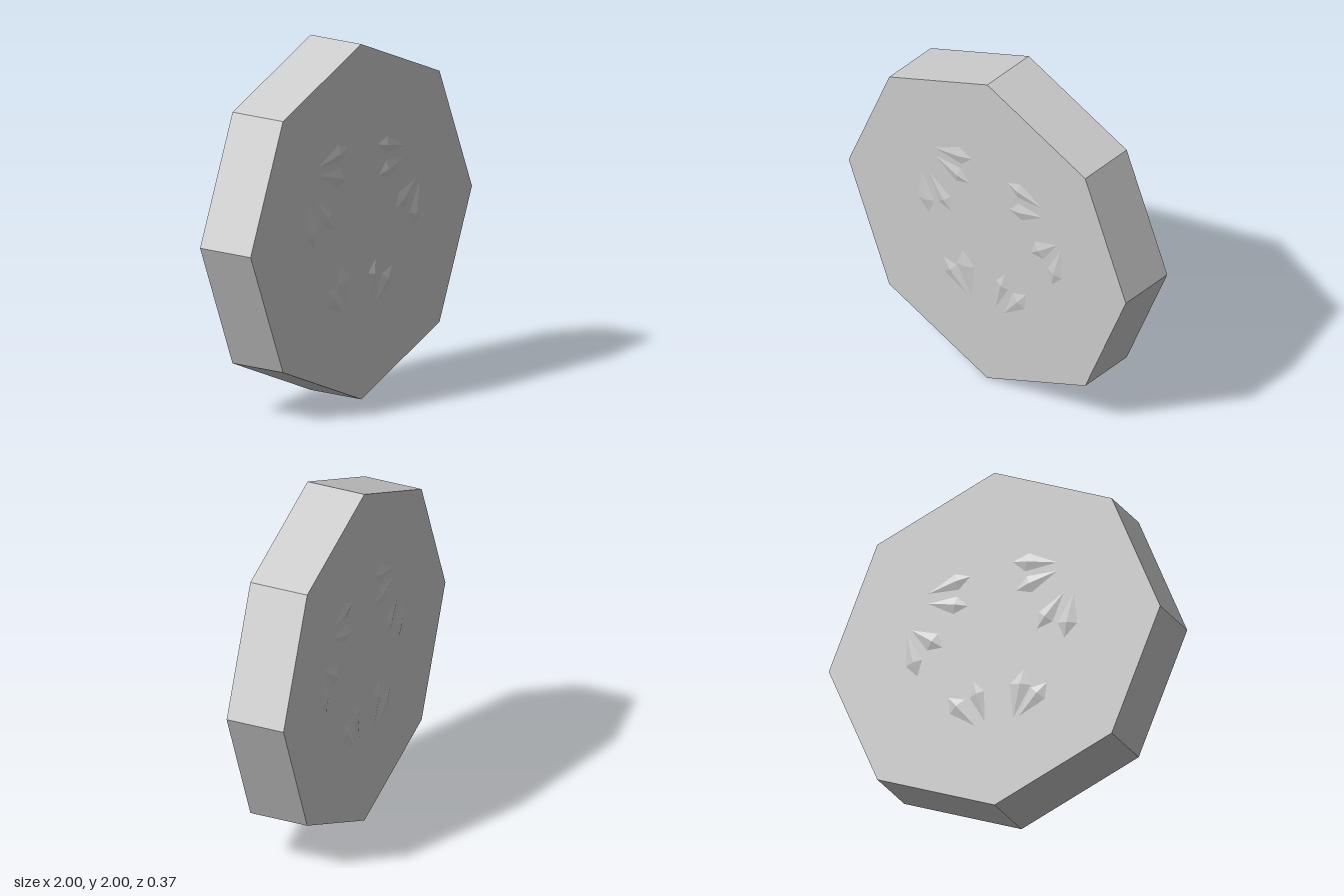
import * as THREE from 'three';

const HALF = 0.173; // half thickness of the slab

// Elongated crystal: long taper to -x, short end at +x, widest at 68% of its length
function makeChipGeometry() {
  const geo = new THREE.OctahedronGeometry(1, 0);
  const p = geo.attributes.position;
  for (let i = 0; i < p.count; i++) {
    if (Math.abs(p.getX(i)) < 0.5) p.setX(i, 0.36);
  }
  geo.computeVertexNormals();
  return geo;
}

// Pairs of chips, each [tip x, tip y, end x, end y, half width]
const PAIRS = {
  upperLeft: [[0.40, 1.35, 0.145, 1.405, 0.05], [0.40, 1.29, 0.16, 1.23, 0.052]],
  upperRight: [[-0.38, 1.385, -0.11, 1.44, 0.053], [-0.38, 1.335, -0.13, 1.265, 0.053]],
  middleLeft: [[0.50, 1.15, 0.315, 1.01, 0.055], [0.53, 1.13, 0.465, 0.865, 0.05]],
  middleRight: [[-0.42, 1.20, -0.255, 1.01, 0.055], [-0.48, 1.19, -0.42, 0.925, 0.06]],
  lowerLeft: [[0.06, 0.515, 0.128, 0.767, 0.045], [0.118, 0.50, 0.278, 0.70, 0.055]],
  lowerRight: [[-0.112, 0.50, -0.178, 0.785, 0.065], [-0.145, 0.505, -0.315, 0.675, 0.06]],
};

export function createModel() {
  const model = new THREE.Group();
  model.name = 'octagonalDisc';
  const mat = new THREE.MeshStandardMaterial({ color: 0xcccccc, flatShading: true });

  // Eight-sided slab standing on one corner
  const slab = new THREE.Mesh(new THREE.CylinderGeometry(1, 1, HALF * 2, 8), mat);
  slab.name = 'slab';
  slab.rotation.x = Math.PI / 2;
  slab.position.y = 1;
  model.add(slab);

  // Raised chips, mirrored on the front and back faces
  const chipGeo = makeChipGeometry();
  for (const side of [1, -1]) {
    for (const [place, chips] of Object.entries(PAIRS)) {
      const pair = new THREE.Group();
      pair.name = `${side > 0 ? 'front' : 'back'}ChipPair_${place}`;
      for (const [tx, ty, ex, ey, width] of chips) {
        const chip = new THREE.Mesh(chipGeo, mat);
        chip.name = 'chip';
        chip.position.set((tx + ex) / 2, (ty + ey) / 2, side * HALF);
        chip.rotation.z = Math.atan2(ey - ty, ex - tx);
        chip.scale.set(Math.hypot(ex - tx, ey - ty) / 2, width, 0.013);
        pair.add(chip);
      }
      model.add(pair);
    }
  }
  return model;
}
